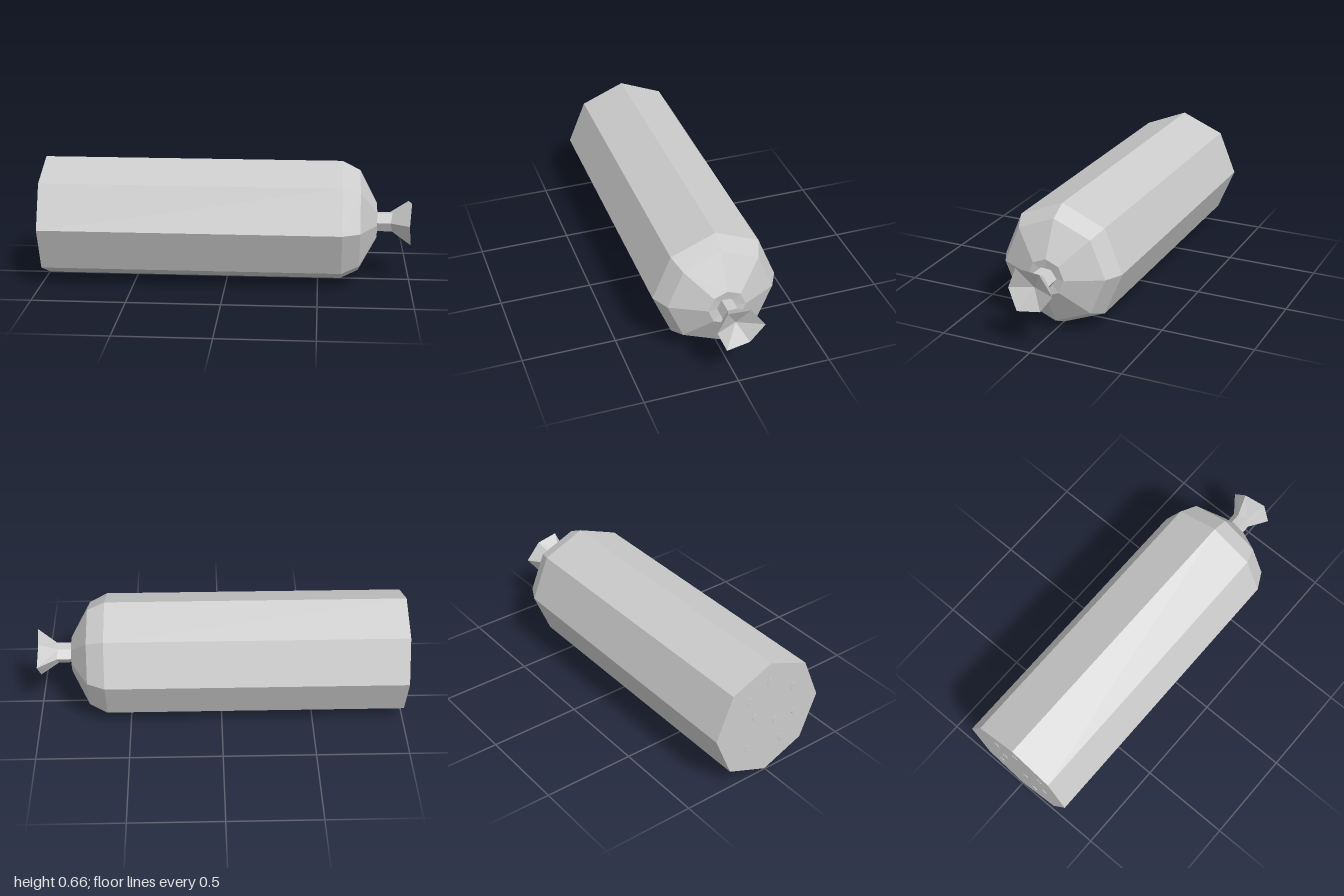
import * as THREE from 'three';

const material = new THREE.MeshStandardMaterial({ color: 0xcccccc, flatShading: true });
const AXIS_Y = 0.333;

// Faceted skin around the x axis. Each ring is [x, r, xOdd, rOdd];
// the odd values apply to every second corner and default to the even ones.
function loft(name, sides, rings) {
  const corner = ([x, r, xOdd = x, rOdd = r], j) => {
    const a = (j / sides) * Math.PI * 2;
    const odd = j % 2 === 1;
    const radius = odd ? rOdd : r;
    return [odd ? xOdd : x, radius * Math.sin(a), -radius * Math.cos(a)];
  };
  const positions = [];
  for (let i = 0; i < rings.length - 1; i++) {
    for (let j = 0; j < sides; j++) {
      const k = (j + 1) % sides;
      const a = corner(rings[i], j), b = corner(rings[i], k);
      const c = corner(rings[i + 1], k), d = corner(rings[i + 1], j);
      if (rings[i][1] > 0) positions.push(...a, ...b, ...d);
      if (rings[i + 1][1] > 0) positions.push(...b, ...c, ...d);
    }
  }
  const geometry = new THREE.BufferGeometry();
  geometry.setAttribute('position', new THREE.Float32BufferAttribute(positions, 3));
  geometry.computeVertexNormals();
  const mesh = new THREE.Mesh(geometry, material);
  mesh.name = name;
  return mesh;
}

export function createModel() {
  const model = new THREE.Group();
  model.name = 'sausage';
  model.position.y = AXIS_Y;

  // Octagonal body: flat cut end, tapered end with a shallow dimple
  model.add(loft('body', 8, [
    [-0.997, 0], [-0.997, 0.332], [0.625, 0.332],
    [0.72, 0.283], [0.815, 0.1], [0.8, 0],
  ]));

  // Tied casing end: narrow neck flaring to a hollow, uneven rim
  model.add(loft('tiedEnd', 6, [
    [0.79, 0.056, 0.79, 0.05], [0.9, 0.06, 0.89, 0.052],
    [1, 0.134, 0.99, 0.116], [0.935, 0],
  ]));

  // Small flecks slightly proud of the cut face, as [y, z]
  const flecks = new THREE.Group();
  flecks.name = 'cutFaceFlecks';
  const spots = [
    [0.225, 0], [0.13, 0.16], [0.16, -0.13], [0.04, -0.085],
    [-0.036, 0.05], [-0.04, 0.18], [-0.135, -0.13], [-0.17, 0.1],
  ];
  const fleckGeometry = new THREE.CylinderGeometry(0.02, 0.02, 0.006, 6).rotateZ(Math.PI / 2);
  for (const [y, z] of spots) {
    const fleck = new THREE.Mesh(fleckGeometry, material);
    fleck.name = 'fleck';
    fleck.position.set(-0.997, y, z);
    flecks.add(fleck);
  }
  model.add(flecks);

  const root = new THREE.Group();
  root.add(model);
  return root;
}
